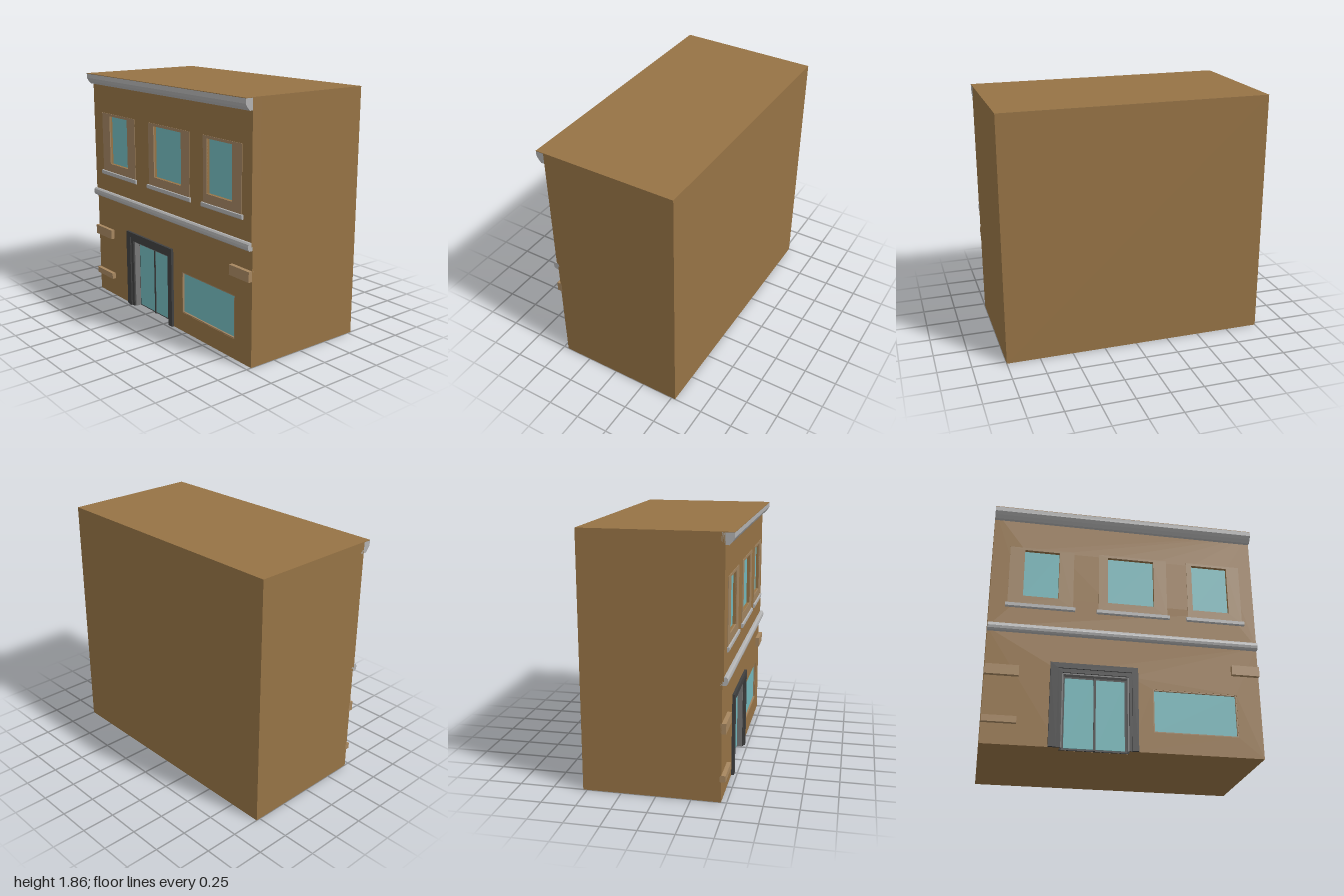
import * as THREE from 'three';

const mat = (color) => new THREE.MeshStandardMaterial({ color, flatShading: true });
const brown = mat(0x967345), tan = mat(0xa78760), frameBrown = mat(0xa08360);
const stone = mat(0xb2b2b2), dark = mat(0x404040), grey = mat(0x777777), glassMat = mat(0x72b8bc);

function add(parent, name, geometry, material) {
  const mesh = new THREE.Mesh(geometry, material);
  mesh.name = name;
  parent.add(mesh);
  return mesh;
}

// Box given by its limits on each axis
function block(parent, name, material, x0, x1, y0, y1, z0, z1) {
  const g = new THREE.BoxGeometry(x1 - x0, y1 - y0, z1 - z0);
  g.translate((x0 + x1) / 2, (y0 + y1) / 2, (z0 + z1) / 2);
  return add(parent, name, g, material);
}

const rectPoints = ([x0, x1, y0, y1]) =>
  [[x0, y0], [x1, y0], [x1, y1], [x0, y1]].map(([x, y]) => new THREE.Vector2(x, y));

// Rectangular slab with rectangular openings, from depth z0 out to z1
function panel(parent, name, material, rect, holes, z0, z1) {
  const shape = new THREE.Shape(rectPoints(rect));
  for (const h of holes) shape.holes.push(new THREE.Path(rectPoints(h).reverse()));
  const g = new THREE.ExtrudeGeometry(shape, { depth: z1 - z0, bevelEnabled: false });
  g.translate(0, 0, z0);
  return add(parent, name, g, material);
}

// Moulding: profile of [depth, height] points run between x0 and x1
function moulding(parent, name, material, points, x0, x1) {
  const shape = new THREE.Shape(points.map(([d, y]) => new THREE.Vector2(d, y)));
  const g = new THREE.ExtrudeGeometry(shape, { depth: x1 - x0, bevelEnabled: false });
  g.rotateY(-Math.PI / 2);
  g.translate(x1, 0, 0);
  return add(parent, name, g, material);
}

// Door surround: upside-down U standing on the ground
function surround(parent, name, material, [x0, x1, top], [a0, a1, aTop], z0, z1) {
  const pts = [[x0, 0], [a0, 0], [a0, aTop], [a1, aTop], [a1, 0], [x1, 0], [x1, top], [x0, top]];
  const shape = new THREE.Shape(pts.map(([x, y]) => new THREE.Vector2(x, y)));
  const g = new THREE.ExtrudeGeometry(shape, { depth: z1 - z0, bevelEnabled: false });
  g.translate(0, 0, z0);
  return add(parent, name, g, material);
}

export function createModel() {
  const model = new THREE.Group();
  model.name = 'townBuilding';

  // Main volume and roof
  block(model, 'buildingBody', brown, -0.4, 0.53, 0, 1.856, -1, 1);
  block(model, 'roof', brown, -0.53, 0.53, 1.856, 1.86, -1, 1);

  // Street facade: local x runs along the wall, local z points out of it
  const facade = new THREE.Group();
  facade.name = 'facade';
  facade.rotation.y = -Math.PI / 2;
  facade.position.x = -0.46;
  model.add(facade);

  // Walls with openings
  const shop = [0.2, 0.82, 0.15, 0.475];
  const door = [-0.46, 0.03, 0, 0.56];
  const windows = [
    { frame: [-0.87, -0.39, 1.06, 1.55], open: [-0.76, -0.5, 1.14, 1.53] },
    { frame: [-0.2, 0.32, 1.06, 1.55], open: [-0.13, 0.22, 1.14, 1.53] },
    { frame: [0.48, 0.9, 1.06, 1.55], open: [0.52, 0.8, 1.14, 1.53] },
  ];
  const lower = [[-1, 0], [door[0], 0], [door[0], door[3]], [door[1], door[3]], [door[1], 0], [1, 0], [1, 0.87], [-1, 0.87]];
  const lowerShape = new THREE.Shape(lower.map(([x, y]) => new THREE.Vector2(x, y)));
  lowerShape.holes.push(new THREE.Path(rectPoints(shop).reverse()));
  const lowerGeo = new THREE.ExtrudeGeometry(lowerShape, { depth: 0.06, bevelEnabled: false });
  lowerGeo.translate(0, 0, -0.06);
  add(facade, 'lowerWall', lowerGeo, brown);
  panel(facade, 'upperWall', brown, [-1, 1, 0.87, 1.856], windows.map((w) => w.open), -0.06, 0.01);

  // Upper windows: flat frame, recessed pane, projecting sill
  for (const { frame, open } of windows) {
    panel(facade, 'windowFrame', frameBrown, frame, [open], 0.005, 0.014);
    block(facade, 'windowPane', glassMat, open[0], open[1], open[2], open[3], -0.05, -0.012);
    moulding(facade, 'windowSill', stone,
      [[0, 1.04], [0.02, 1.04], [0.026, 1.047], [0.026, 1.072], [0, 1.075]], frame[0] - 0.015, frame[1] + 0.015);
  }

  // Shop window
  const [s0, s1, sy0, sy1] = shop;
  panel(facade, 'shopWindowFrame', frameBrown, shop, [[s0 + 0.008, s1 - 0.008, sy0 + 0.008, sy1 - 0.008]], -0.03, -0.002);
  block(facade, 'shopWindowPane', glassMat, s0, s1, sy0, sy1, -0.05, -0.015);

  // Entrance: stepped surround, grey lining, two glazed leaves
  surround(facade, 'doorSurround', dark, [-0.54, 0.09, 0.625], [-0.485, 0.045, 0.585], -0.005, 0.02);
  surround(facade, 'doorInnerSurround', dark, [-0.485, 0.045, 0.585], [-0.455, 0.025, 0.555], -0.01, 0.01);
  surround(facade, 'doorLining', grey, [-0.46, 0.03, 0.56], [-0.445, 0.015, 0.545], -0.055, 0);
  block(facade, 'doorBacking', dark, -0.46, 0.03, 0, 0.56, -0.058, -0.045);
  const mid = -0.215;
  for (const side of [-1, 1]) {
    const a = mid + side * 0.008, b = mid + side * 0.215;
    block(facade, 'doorPane', glassMat, Math.min(a, b), Math.max(a, b), 0.012, 0.53, -0.047, -0.038);
  }
  block(facade, 'doorMullion', dark, mid - 0.008, mid + 0.008, 0, 0.545, -0.047, -0.034);

  // Projecting corner stones
  for (const [x0, x1, y0, y1] of [[-1, -0.76, 0.15, 0.197], [-1, -0.76, 0.5, 0.575], [0.79, 1, 0.625, 0.7]]) {
    block(facade, 'cornerStone', tan, x0, x1, y0, y1, -0.01, 0.03);
  }

  // Belt course between floors, and cornice under the roof edge
  moulding(facade, 'beltCourse', stone,
    [[-0.015, 0.842], [0.026, 0.842], [0.036, 0.852], [0.04, 0.871], [0.036, 0.89], [0.026, 0.9], [-0.015, 0.9]], -1, 1);
  moulding(facade, 'cornice', stone,
    [[-0.015, 1.775], [0.035, 1.775], [0.055, 1.797], [0.07, 1.822], [0.07, 1.856], [-0.015, 1.856]], -1, 1);

  return model;
}
